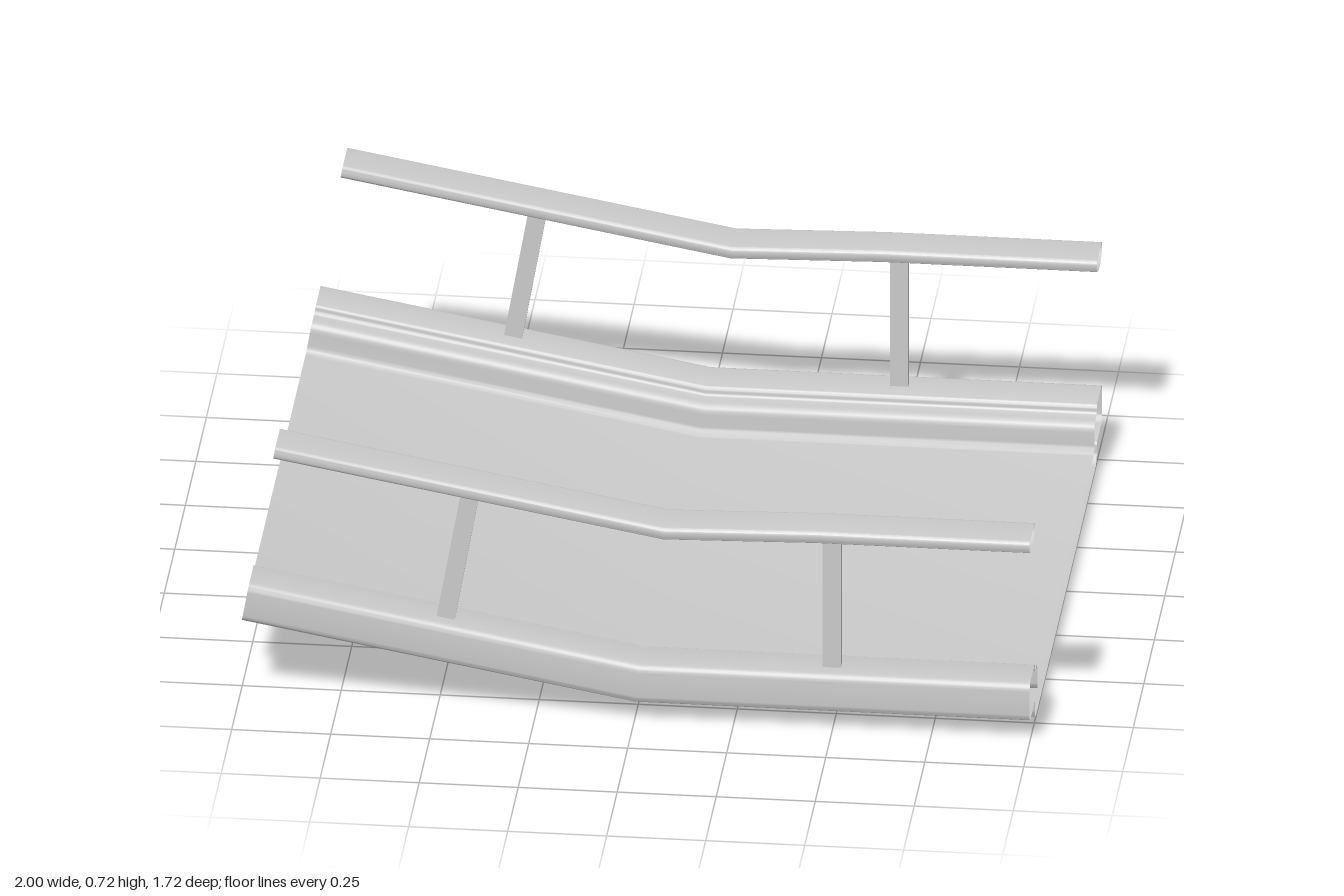
import * as THREE from 'three';
import { toCreasedNormals } from 'three/addons/utils/BufferGeometryUtils.js';

const material = new THREE.MeshStandardMaterial({ color: 0xcccccc, side: THREE.DoubleSide });

// Round the corners [z, y, radius] of a closed outline.
function roundedOutline(corners, steps = 5) {
  const points = [];
  corners.forEach(([z, y, r], i) => {
    const p = new THREE.Vector2(z, y);
    const toward = k => {
      const [a, b] = corners[(i + k + corners.length) % corners.length];
      return new THREE.Vector2(a, b).sub(p).normalize().multiplyScalar(r).add(p);
    };
    if (!r) return points.push(p);
    points.push(...new THREE.QuadraticBezierCurve(toward(-1), p, toward(1)).getPoints(steps));
  });
  return points;
}

// Open-ended tube: sweep a (z, y) outline along an (x, y) path with mitred bends.
function sweep(name, outline, path) {
  const position = [], index = [], n = outline.length;
  const pts = path.map(p => new THREE.Vector2(...p));
  const normal = i => {
    const d = pts[i + 1].clone().sub(pts[i]).normalize();
    return new THREE.Vector2(-d.y, d.x);
  };
  pts.forEach((p, i) => {
    const a = normal(Math.max(i - 1, 0)), b = normal(Math.min(i, pts.length - 2));
    const up = a.clone().add(b).normalize();
    up.divideScalar(up.dot(a));
    for (const o of outline) position.push(p.x + up.x * o.y, p.y + up.y * o.y, o.x);
    if (i === pts.length - 1) return;
    for (let j = 0; j < n; j++) {
      const k = (j + 1) % n, s = i * n;
      index.push(s + j, s + n + j, s + k, s + k, s + n + j, s + n + k);
    }
  });
  const geometry = new THREE.BufferGeometry();
  geometry.setAttribute('position', new THREE.Float32BufferAttribute(position, 3));
  geometry.setIndex(index);
  const mesh = new THREE.Mesh(toCreasedNormals(geometry, 0.7), material);
  mesh.name = name;
  return mesh;
}

// Flat bar standing between two (x, y) points.
function post(name, [x0, y0], [x1, y1]) {
  const mesh = new THREE.Mesh(new THREE.BoxGeometry(0.046, Math.hypot(x1 - x0, y1 - y0), 0.025), material);
  mesh.position.set((x0 + x1) / 2, (y0 + y1) / 2, 0);
  mesh.rotation.z = -Math.atan2(x1 - x0, y1 - y0);
  mesh.name = name;
  return mesh;
}

export function createModel() {
  const model = new THREE.Group();
  model.name = 'bentWalkway';

  // Deck with stepped curbs along both sides
  const half = [
    [0.735, 0, 0.03], [0.735, 0.055, 0.012], [0.86, 0.055, 0.02], [0.86, 0.16, 0.02],
    [0.735, 0.16, 0.012], [0.735, 0.135, 0.012], [0.677, 0.135, 0.025], [0.677, 0.055, 0.02],
  ];
  const mirrored = half.map(([z, y, r]) => [-z, y, r]).reverse();
  model.add(sweep('deckAndCurbs', roundedOutline([...half, ...mirrored]),
    [[-1, 0.178], [0, 0], [1, 0]]));

  // Handrail: flat top, shallow V-shaped underside
  const railOutline = roundedOutline([
    [0.018, -0.023, 0.008], [0.06, -0.008, 0.008], [0.06, 0.022, 0.012],
    [-0.06, 0.022, 0.012], [-0.06, -0.008, 0.008], [-0.018, -0.023, 0.008],
  ], 4);
  const railPath = [[-0.909, 0.702], [0.075, 0.527], [0.46, 0.537], [1, 0.537]];

  for (const [side, z] of [['front', 0.8], ['back', -0.8]]) {
    const railing = new THREE.Group();
    railing.name = side + 'Railing';
    railing.position.z = z;
    railing.add(
      sweep('handrail', railOutline, railPath),
      post('levelPost', [0.495, 0.15], [0.495, 0.525]),
      post('slopePost', [-0.482, 0.235], [-0.417, 0.605]),
    );
    model.add(railing);
  }
  return model;
}
